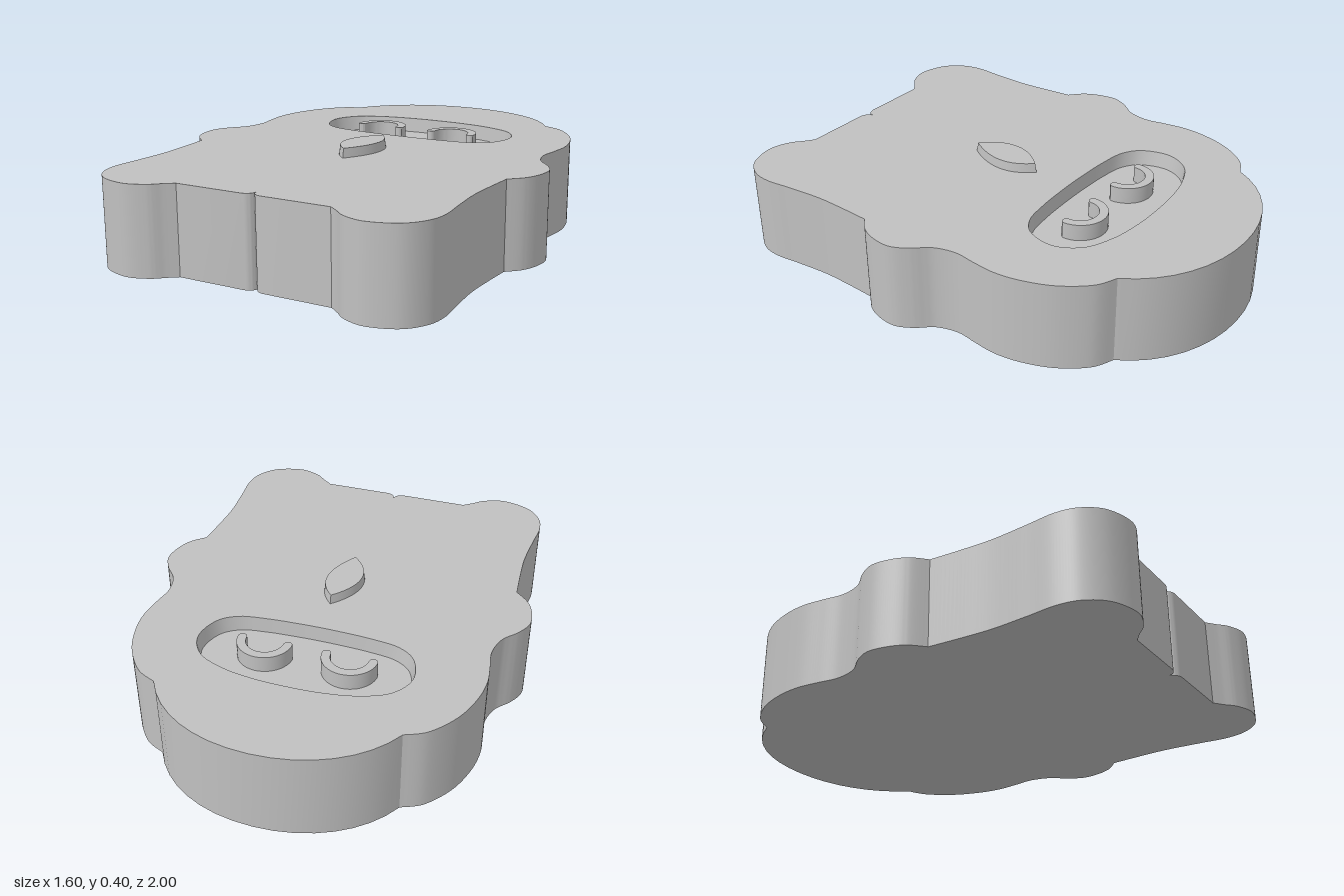
import * as THREE from 'three';
import { mergeGeometries, toCreasedNormals } from 'three/addons/utils/BufferGeometryUtils.js';

const TOP = 0.363, FLOOR = 0.3;
const V = (x, z) => new THREE.Vector2(x, z);
const pts = (list) => list.map(([x, z]) => V(x, z));

// Loops are drawn as (x, z) seen from above, then ordered counter-clockwise in (x, -z).
function orient(loop) {
  const out = loop.map((p) => V(p.x, -p.y));
  return THREE.ShapeUtils.isClockWise(out) ? out.reverse() : out;
}

function toGeometry(positions) {
  const g = new THREE.BufferGeometry();
  g.setAttribute('position', new THREE.Float32BufferAttribute(positions, 3));
  return g;
}

// Wall between two matching loops; going downwards makes it face inwards.
function wall(a, ya, b, yb) {
  const out = [];
  for (let i = 0; i < a.length; i++) {
    const j = (i + 1) % a.length;
    const p = [a[i].x, ya, -a[i].y], q = [a[j].x, ya, -a[j].y];
    const r = [b[j].x, yb, -b[j].y], s = [b[i].x, yb, -b[i].y];
    out.push(...p, ...q, ...r, ...p, ...r, ...s);
  }
  return toGeometry(out);
}

// Flat face filling a loop, with an optional hole
function cap(loop, y, { hole = null, down = false } = {}) {
  const holes = hole ? [hole.slice().reverse()] : [];
  const all = [...loop, ...holes.flat()];
  const out = [];
  for (const f of THREE.ShapeUtils.triangulateShape(loop, holes)) {
    for (const i of down ? f.slice().reverse() : f) out.push(all[i].x, y, -all[i].y);
  }
  return toGeometry(out);
}

function scaleLoop(loop, s, centre) {
  return loop.map((p) => p.clone().sub(centre).multiplyScalar(s).add(centre));
}

// Body outline: right half, then mirrored
function bodyLoop() {
  const path = new THREE.Path();
  path.moveTo(0, -1);
  path.bezierCurveTo(0.22, -1, 0.4, -0.9, 0.485, -0.74); // hood
  path.splineThru(pts([[0.57, -0.695], [0.65, -0.59], [0.695, -0.47], [0.71, -0.36],
    [0.7, -0.26], [0.688, -0.17], [0.71, -0.08], [0.765, -0.01], [0.797, 0.06],
    [0.79, 0.14], [0.76, 0.21], [0.705, 0.265]])); // cheek and arm
  path.splineThru(pts([[0.695, 0.4], [0.69, 0.53], [0.7, 0.68], [0.71, 0.8], [0.69, 0.89],
    [0.625, 0.965], [0.51, 1], [0.42, 0.975], [0.37, 0.935], [0.33, 0.905]])); // side and foot
  path.lineTo(0.04, 0.905);
  path.quadraticCurveTo(0.005, 0.9, 0, 0.87); // notch
  const right = path.getPoints(8);
  const left = right.slice(1, -1).reverse().map((p) => V(-p.x, p.y));
  return orient([...right, ...left]);
}

// Rounded face opening
function faceLoop() {
  const half = [[0.13, -0.61], [0.27, -0.585], [0.385, -0.53], [0.44, -0.43],
    [0.41, -0.31], [0.34, -0.256], [0.22, -0.235], [0.1, -0.228]];
  const mirrored = half.slice().reverse().map(([x, z]) => [-x, z]);
  const ring = pts([[0, -0.615], ...half, [0, -0.226], ...mirrored])
    .map((p) => new THREE.Vector3(p.x, 0, p.y));
  return orient(new THREE.CatmullRomCurve3(ring, true).getPoints(96).slice(0, -1).map((p) => V(p.x, p.z)));
}

// Smiling eye: an arch with rounded ends
function eyeLoop(cx) {
  const w = 0.018, rx = 0.095, rz = 0.093, zc = -0.379, n = 24;
  const outer = [], inner = [];
  for (let i = 0; i <= n; i++) {
    const a = Math.PI * (1 - i / n), c = Math.cos(a), s = Math.sin(a);
    outer.push(V(cx + (rx + w) * c, zc - (rz + w) * s));
    inner.push(V(cx + (rx - w) * c, zc - (rz - w) * s));
  }
  const end = (x) => [1, 2, 3, 4, 5].map((i) => {
    const a = Math.PI * i / 6;
    return V(x + w * Math.cos(a), zc + w * Math.sin(a));
  });
  return orient([...outer, ...end(cx + rx), ...inner.reverse(), ...end(cx - rx)]);
}

// Beak: a slightly lopsided leaf
function beakLoop() {
  const path = new THREE.Path();
  path.moveTo(0.012, -0.057);
  path.bezierCurveTo(0.1, 0.03, 0.09, 0.14, 0, 0.265);
  path.bezierCurveTo(-0.1, 0.18, -0.11, 0.06, 0.012, -0.057);
  return orient(path.getPoints(20).slice(0, -1));
}

export function createModel() {
  const group = new THREE.Group();
  const grey = new THREE.MeshStandardMaterial({ color: 0xc0c0c0 });
  grey.name = 'grey';

  const add = (name, parts) => {
    const mesh = new THREE.Mesh(toCreasedNormals(mergeGeometries(parts), 0.5), grey);
    mesh.name = name;
    group.add(mesh);
  };

  // Body slab with the sunken face
  const body = bodyLoop();
  const rim = faceLoop();
  const floor = scaleLoop(rim, 0.97, V(0, 0.42));
  add('body', [cap(body, 0, { down: true }), wall(body, 0, body, TOP), cap(body, TOP, { hole: rim })]);
  add('faceRecess', [wall(rim, TOP, floor, FLOOR), cap(floor, FLOOR)]);

  // Eyes rising from the recess
  for (const [name, x] of [['leftEye', 0.175], ['rightEye', -0.175]]) {
    const eye = eyeLoop(x);
    add(name, [wall(eye, FLOOR, eye, 0.368), cap(eye, 0.368)]);
  }

  // Raised beak with tapered sides
  const beak = beakLoop();
  const beakTop = scaleLoop(beak, 0.95, V(0, -0.1));
  add('beak', [wall(beak, TOP, beakTop, 0.402), cap(beakTop, 0.402)]);

  return group;
}
